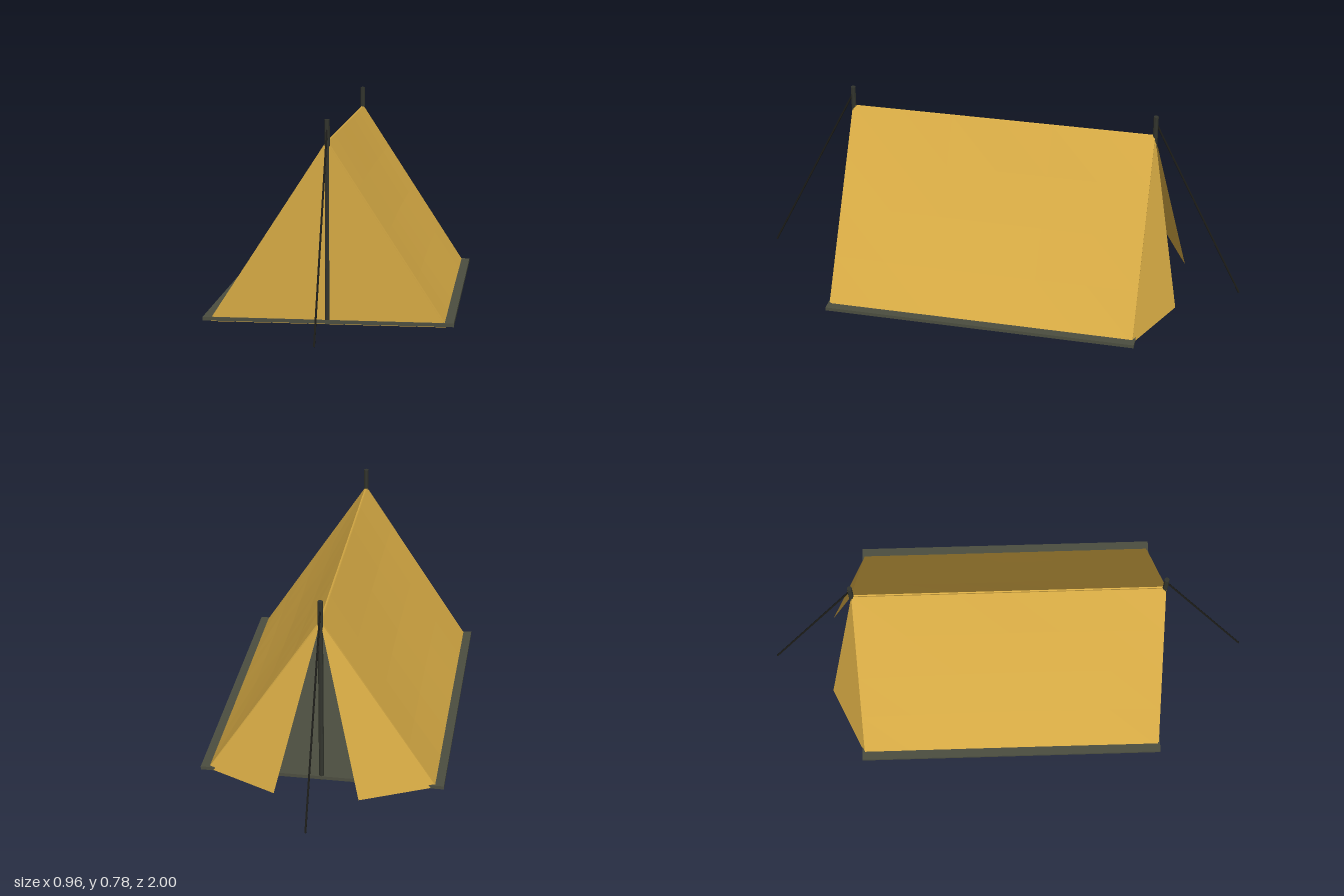
import * as THREE from 'three';

const material = (name, color) => {
  const m = new THREE.MeshStandardMaterial({ color, flatShading: true });
  m.name = name;
  return m;
};

export function createModel() {
  const canvas = material('ochre canvas', 0xd6aa44);
  canvas.side = THREE.DoubleSide;
  const sheet = material('groundsheet olive', 0x4c4e40);
  const poleMat = material('dark pole', 0x32342d);
  const rope = material('black rope', 0x1c1c18);

  const tent = new THREE.Group();
  tent.name = 'tent';
  const add = (name, geometry, mat) => {
    const mesh = new THREE.Mesh(geometry, mat);
    mesh.name = name;
    tent.add(mesh);
    return mesh;
  };

  const END = 0.62, HALF = 0.45, RIDGE = 0.7, THICK = 0.01;

  // Straight round bar between two points
  const bar = (name, a, b, radius, sides, mat) => {
    const dir = b.clone().sub(a);
    const mesh = add(name, new THREE.CylinderGeometry(radius, radius, dir.length(), sides), mat);
    mesh.position.copy(a).add(b).multiplyScalar(0.5);
    mesh.quaternion.setFromUnitVectors(new THREE.Vector3(0, 1, 0), dir.normalize());
  };

  // Thin triangular cloth, built from three corners
  const cloth = (name, corners) => {
    const g = new THREE.BufferGeometry().setFromPoints(corners);
    g.computeVertexNormals();
    add(name, g, canvas);
  };

  // Floor
  const floor = add('groundsheet', new THREE.BoxGeometry(0.96, 0.014, 1.26), sheet);
  floor.position.y = 0.015;

  // Sloping roof slabs, sagging slightly between the edges
  for (const s of [1, -1]) {
    const length = Math.hypot(HALF, RIDGE - 0.006);
    const g = new THREE.BoxGeometry(length, THICK, 2 * END, 4, 1, 6);
    const p = g.attributes.position;
    for (let i = 0; i < p.count; i++) {
      const u = p.getX(i) / length, w = p.getZ(i) / (2 * END);
      p.setY(i, p.getY(i) - 0.012 * Math.cos(Math.PI * u) * Math.cos(Math.PI * w));
    }
    g.computeVertexNormals();
    const roof = add(s > 0 ? 'leftRoof' : 'rightRoof', g, canvas);
    roof.position.set(s * HALF / 2, (RIDGE + 0.006) / 2, 0);
    roof.rotation.z = -s * Math.atan2(RIDGE - 0.006, HALF);
  }

  // Closed front wall
  const wall = new THREE.Shape([
    new THREE.Vector2(-HALF, 0.005),
    new THREE.Vector2(HALF, 0.005),
    new THREE.Vector2(0, RIDGE),
  ]);
  const front = add('frontWall', new THREE.ExtrudeGeometry(wall, { depth: THICK, bevelEnabled: false }), canvas);
  front.position.z = END - THICK / 2;

  // Rear door flaps, folded outward
  for (const s of [1, -1]) {
    cloth(s > 0 ? 'leftDoorFlap' : 'rightDoorFlap', [
      new THREE.Vector3(0, RIDGE, -END),
      new THREE.Vector3(s * HALF, 0.01, -END),
      new THREE.Vector3(s * 0.165, 0.01, -0.755),
    ]);
  }

  // Poles and guy lines at both ends
  for (const s of [1, -1]) {
    const end = s > 0 ? 'front' : 'rear';
    bar(end + 'Pole', new THREE.Vector3(0, 0.005, s * END), new THREE.Vector3(0, 0.787, s * END), 0.01, 8, poleMat);
    bar(end + 'GuyLine', new THREE.Vector3(0, 0.76, s * END), new THREE.Vector3(0, 0.01, s * 0.997), 0.004, 6, rope);
  }

  return tent;
}
